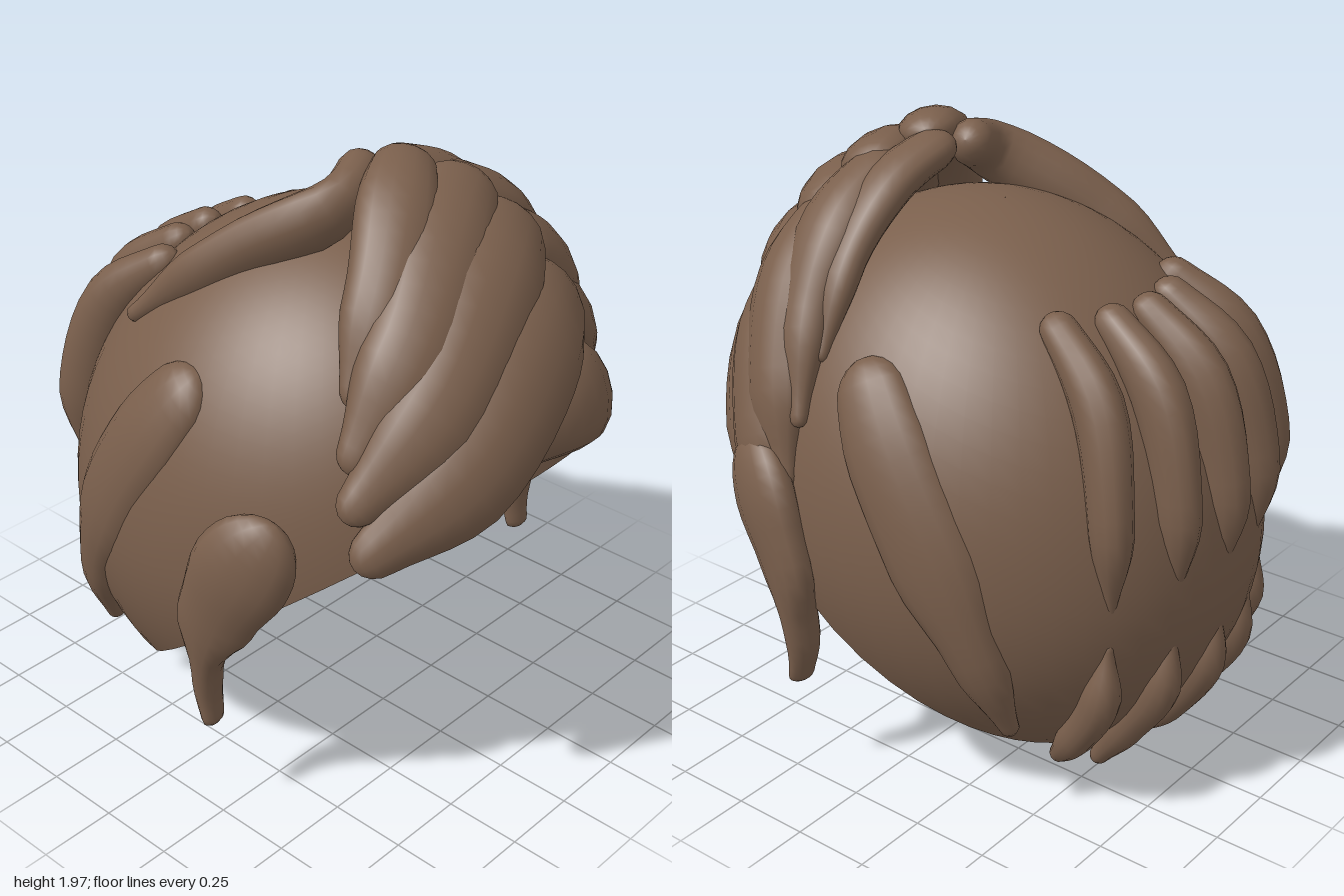
import * as THREE from 'three';
import { ParametricGeometry } from 'three/addons/geometries/ParametricGeometry.js';

// Skull cap: an egg, taller above its middle, leaning slightly forward
const CY = 0.82, RX = 0.77, RZ = 0.85, R_UP = 0.93, R_DOWN = 0.835, LEAN = 0.09;

const brown = new THREE.MeshStandardMaterial({ color: 0x7a5f4c });
const brownShell = new THREE.MeshStandardMaterial({ color: 0x7a5f4c, side: THREE.DoubleSide });

// Point on the egg at an azimuth (0 = front) and an angle down from the top
function eggPoint(azimuth, down, target) {
  const x = -RX * Math.sin(azimuth) * Math.sin(down);
  const z = RZ * Math.cos(azimuth) * Math.sin(down);
  const c = Math.cos(down);
  return target.set(x, CY + c * (c > 0 ? R_UP : R_DOWN) + LEAN * z, z);
}

// Angle at which the egg meets the sloping plane of the opening
function rimAngle(azimuth) {
  const p = new THREE.Vector3();
  let lo = 0, hi = Math.PI;
  for (let i = 0; i < 24; i++) {
    const mid = (lo + hi) / 2;
    eggPoint(azimuth, mid, p);
    if (p.y > 0.48 + 0.79 * p.z) lo = mid; else hi = mid;
  }
  return lo;
}

// Outward direction of the cap near a point
function outward(p) {
  const y = p.y - CY - LEAN * p.z;
  const v = y / (y > 0 ? R_UP : R_DOWN) ** 2;
  return new THREE.Vector3(p.x / (RX * RX), v, p.z / (RZ * RZ) - LEAN * v).normalize();
}

// Lock of hair: an oval swept along a curve lying on the cap.
// Half widths and half depths are spread evenly along the curve.
function lock(name, pts, widths, depths = widths.map(w => w * 0.55 + 0.01)) {
  const sides = 14, steps = 24;
  const curve = new THREE.CatmullRomCurve3(pts.map(p => new THREE.Vector3(...p)));
  const len = curve.getLength();
  const sample = (list, t) => {
    const last = list.length - 1;
    const f = Math.min(t * last, last - 1e-6), i = Math.floor(f);
    return THREE.MathUtils.lerp(list[i], list[i + 1], THREE.MathUtils.smoothstep(f - i, 0, 1));
  };
  const roundEnd = (t, w) => {
    const k = Math.min(t / Math.min(0.35, w / len), 1);
    return Math.sqrt(Math.max(0, 1 - (1 - k) ** 2));
  };
  const pos = [], idx = [];
  for (let i = 0; i <= steps; i++) {
    const t = (1 - Math.cos(Math.PI * i / steps)) / 2;
    const p = curve.getPointAt(t), tan = curve.getTangentAt(t);
    const n = outward(p);
    n.addScaledVector(tan, -n.dot(tan)).normalize();
    const b = new THREE.Vector3().crossVectors(tan, n);
    const ends = roundEnd(t, widths[0]) * roundEnd(1 - t, widths[widths.length - 1]);
    const w = sample(widths, t) * ends, h = sample(depths, t) * ends;
    for (let j = 0; j < sides; j++) {
      const a = j / sides * Math.PI * 2;
      const q = p.clone().addScaledVector(b, Math.cos(a) * w).addScaledVector(n, Math.sin(a) * h);
      pos.push(q.x, q.y, q.z);
      if (i < steps) {
        const k = (j + 1) % sides, r = i * sides, s = r + sides;
        idx.push(r + j, s + k, r + k, r + j, s + j, s + k);
      }
    }
  }
  const g = new THREE.BufferGeometry();
  g.setAttribute('position', new THREE.Float32BufferAttribute(pos, 3));
  g.setIndex(idx);
  g.computeVertexNormals();
  const mesh = new THREE.Mesh(g, brown);
  mesh.name = name;
  return mesh;
}

const mirror = pts => pts.map(([x, y, z]) => [-x, y, z]);

export function createModel() {
  const model = new THREE.Group();
  model.name = 'hair';

  // Cap, open toward the face and neck
  const capGeo = new ParametricGeometry((u, v, target) => {
    const azimuth = u * Math.PI * 2;
    eggPoint(azimuth, 0.001 + v * (rimAngle(azimuth) - 0.001), target);
  }, 56, 28);
  const cap = new THREE.Mesh(capGeo, brownShell);
  cap.name = 'cap';
  model.add(cap);

  // Fringe swept to the right side
  [
    [[[0.4, 1.52, 0.55], [0.1, 1.51, 0.7], [-0.25, 1.27, 0.79], [-0.61, 1.03, 0.66]], [0.13, 0.19, 0.16, 0.07]],
    [[[0.34, 1.72, 0.43], [0.05, 1.69, 0.58], [-0.3, 1.43, 0.69], [-0.6, 1.16, 0.61]], [0.12, 0.17, 0.15, 0.06]],
    [[[0.25, 1.85, 0.33], [0, 1.8, 0.45], [-0.28, 1.58, 0.58], [-0.54, 1.27, 0.57]], [0.11, 0.15, 0.14, 0.055]],
    [[[0.1, 1.93, 0.22], [-0.06, 1.89, 0.33], [-0.25, 1.71, 0.45], [-0.45, 1.41, 0.51]], [0.09, 0.12, 0.11, 0.05]],
  ].forEach(([p, w]) => model.add(lock('rightFringeLock', p, w)));

  // Lock falling back from the parting
  model.add(lock('crownLock',
    [[0.03, 1.91, 0.13], [-0.16, 1.83, 0.18], [-0.33, 1.68, -0.04], [-0.48, 1.41, -0.37]],
    [0.07, 0.075, 0.065, 0.025], [0.07, 0.1, 0.09, 0.03]));

  // Fringe swept to the left side
  [
    [[[0.03, 1.91, 0.19], [0.27, 1.81, 0.23], [0.46, 1.62, 0.24], [0.61, 1.36, 0.21]], [0.09, 0.1, 0.08, 0.025]],
    [[[0.14, 1.86, 0.32], [0.38, 1.71, 0.34], [0.56, 1.47, 0.31], [0.7, 1.18, 0.22]], [0.11, 0.13, 0.1, 0.03]],
    [[[0.24, 1.73, 0.45], [0.46, 1.55, 0.44], [0.62, 1.3, 0.37], [0.73, 0.98, 0.25]], [0.12, 0.15, 0.13, 0.04]],
    [[[0.3, 1.53, 0.57], [0.51, 1.36, 0.5], [0.65, 1.12, 0.41], [0.74, 0.85, 0.28]], [0.13, 0.16, 0.14, 0.05]],
    [[[-0.18, 1.27, 0.77], [0.24, 1.27, 0.75], [0.52, 1.1, 0.58], [0.7, 0.76, 0.33]], [0.1, 0.16, 0.15, 0.05]],
  ].forEach(([p, w]) => model.add(lock('leftFringeLock', p, w)));

  // Side locks and sideburns, mirrored
  const side = [[0.59, 1.41, 0.05], [0.66, 1.2, -0.09], [0.685, 0.9, -0.27], [0.63, 0.55, -0.41], [0.54, 0.31, -0.45]];
  const burn = [[0.685, 1.11, 0.44], [0.74, 0.9, 0.32], [0.755, 0.69, 0.23], [0.745, 0.48, 0.2], [0.745, 0.34, 0.22]];
  for (const [word, f] of [['left', p => p], ['right', mirror]]) {
    model.add(lock(word + 'SideLock', f(side),
      [0.11, 0.145, 0.145, 0.09, 0.03], [0.065, 0.075, 0.07, 0.06, 0.03]));
    model.add(lock(word + 'Sideburn', f(burn),
      [0.12, 0.155, 0.125, 0.045, 0.025], [0.06, 0.075, 0.065, 0.06, 0.045]));
  }

  // Two rows of locks at the back
  const lowTips = [0.12, 0.02, 0.07, 0.03, 0.12];
  for (let i = -2; i <= 2; i++) {
    const x = i * 0.14, a = i * i * 0.028;
    model.add(lock('upperBackLock',
      [[x, 1.55, -0.49 + a], [x * 1.25, 1.35, -0.71 + a], [x * 1.45, 1.06, -0.8 + a], [x * 1.45, 0.7, -0.81 + a]],
      [0.055, 0.075, 0.065, 0.012], [0.055, 0.095, 0.09, 0.012]));
    model.add(lock('lowerBackLock',
      [[x * 1.45, 0.65, -0.81 + a], [x * 1.4 + 0.01, 0.43, -0.775 + a], [x * 1.3, 0.21, -0.64 + a],
        [x * 1.15, lowTips[i + 2], -0.5 + a * 0.4]],
      [0.015, 0.06, 0.055, 0.03], [0.015, 0.07, 0.06, 0.03]));
  }
  return model;
}
